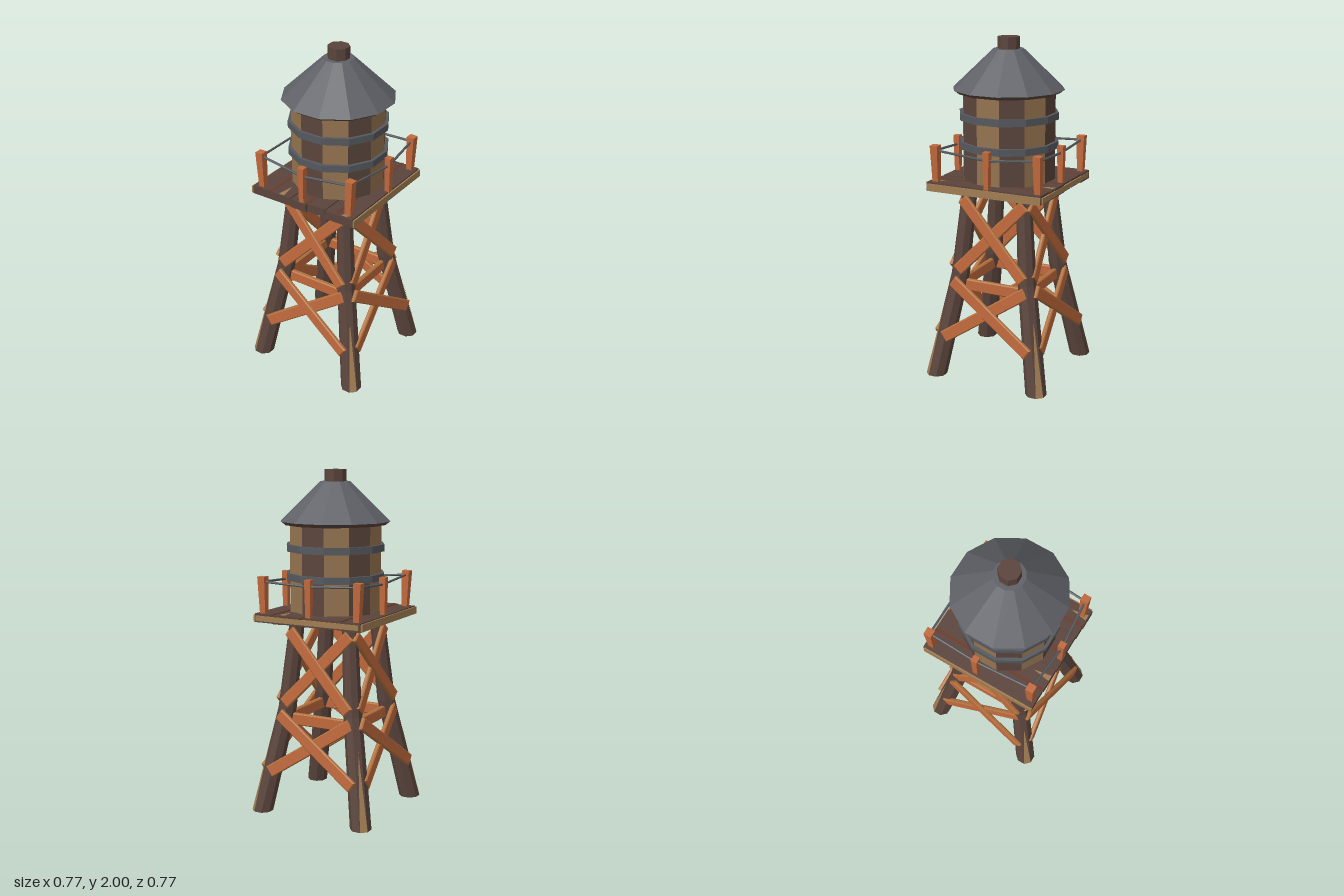
import * as THREE from 'three';

const mat = (color, side = THREE.FrontSide) =>
  new THREE.MeshStandardMaterial({ color, flatShading: true, side });
const darkWood = mat(0x5a443c), lightWood = mat(0x94734f), stainedWood = mat(0x6a3a2a);
const orangeWood = mat(0xc0693c), orangeEdge = mat(0xb0703c);
const wornWood = mat(0xa07c52, THREE.DoubleSide);
const roofMetal = mat(0x5f6167), bandMetal = mat(0x55585d);

const V = (x, y, z) => new THREE.Vector3(x, y, z);

function add(parent, name, geometry, material, x = 0, y = 0, z = 0) {
  const mesh = new THREE.Mesh(geometry, material);
  mesh.name = name;
  mesh.position.set(x, y, z);
  parent.add(mesh);
  return mesh;
}

// Thin worn sliver of bare wood
function sliver(parent, name, a, b, c) {
  const g = new THREE.BufferGeometry().setFromPoints([a, b, c]);
  g.computeVertexNormals();
  return add(parent, name, g, wornWood);
}

// Bevelled board from a to b, its broad face turned towards +z
function board(parent, name, a, b, width, thick) {
  const bevel = 0.006, length = a.distanceTo(b);
  const w = width / 2 - bevel, l = length / 2 - bevel;
  const shape = new THREE.Shape([[-l, -w], [l, -w], [l, w], [-l, w]].map(p => new THREE.Vector2(...p)));
  const g = new THREE.ExtrudeGeometry(shape, {
    depth: thick - 2 * bevel, bevelThickness: bevel, bevelSize: bevel, bevelSegments: 1,
  });
  g.translate(0, 0, bevel - thick / 2);
  const along = b.clone().sub(a).normalize();
  const out = V(0, 0, 1).addScaledVector(along, -along.z).normalize();
  const across = out.clone().cross(along);
  const mesh = add(parent, name, g, [orangeWood, orangeEdge]);
  mesh.quaternion.setFromRotationMatrix(new THREE.Matrix4().makeBasis(along, across, out));
  mesh.position.copy(a).add(b).multiplyScalar(0.5);
}

// Round bar from a to b
function bar(parent, name, a, b, radius) {
  const mesh = add(parent, name, new THREE.CylinderGeometry(radius, radius, a.distanceTo(b), 6), bandMetal);
  mesh.position.copy(a).add(b).multiplyScalar(0.5);
  mesh.quaternion.setFromUnitVectors(V(0, 1, 0), b.clone().sub(a).normalize());
}

// Eight-sided leg that bends inwards at the middle
function legGeometry() {
  const levels = [[0, 0.328, 0.057], [0.62, 0.217, 0.05], [1.14, 0.172, 0.041]]; // y, centre, half width
  const g = new THREE.CylinderGeometry(1, 1, 2, 8, 2, false, Math.PI / 8);
  const p = g.attributes.position, k = 1 / Math.cos(Math.PI / 8);
  for (let i = 0; i < p.count; i++) {
    const [y, c, h] = levels[Math.round(p.getY(i)) + 1];
    p.setXYZ(i, c + p.getX(i) * h * k, y, c + p.getZ(i) * h * k);
  }
  g.computeVertexNormals();
  return g;
}

// One leg and one braced side; repeated by quarter turns
function towerSide(index) {
  const side = new THREE.Group();
  side.name = 'towerSide';
  add(side, 'leg', legGeometry(), darkWood);
  const o = 0.328 + 0.059 * Math.SQRT1_2, t = 0.016, top = 0.25 + 0.058 * Math.SQRT1_2;
  sliver(side, 'legWear', V(o - t, 0, o + t), V(o + t, 0, o - t), V(top, 0.44, top));

  board(side, 'lowerBrace', V(-0.275, 0.245, 0.332), V(0.23, 0.58, 0.266), 0.072, 0.026);
  board(side, 'lowerBrace', V(-0.235, 0.59, 0.282), V(0.28, 0.24, 0.345), 0.072, 0.026);
  board(side, 'upperBrace', V(-0.215, 0.65, 0.258), V(0.195, 1.08, 0.212), 0.07, 0.026);
  board(side, 'upperBrace', V(-0.195, 1.08, 0.222), V(0.215, 0.65, 0.272), 0.07, 0.026);
  board(side, 'crossBeam', V(-0.2, 0.555, 0.215), V(0.2, 0.555, 0.215), 0.07, 0.03);
  side.rotation.y = index * Math.PI / 2;
  return side;
}

function createPlatform() {
  const g = new THREE.Group();
  g.name = 'platform';
  const seams = [-0.338, -0.21, -0.07, 0.04, 0.163, 0.235, 0.347];
  for (let i = 0; i < 6; i++) {
    const w = seams[i + 1] - seams[i], shift = (i % 3 - 1) * 0.004;
    add(g, 'plank', new THREE.BoxGeometry(w - 0.003, 0.05, 0.715),
      darkWood, seams[i] + w / 2, 1.161 + (i % 2) * 0.003, shift);
  }
  add(g, 'underside', new THREE.BoxGeometry(0.68, 0.03, 0.7), darkWood, 0.005, 1.152, 0);
  // Stained strips and worn edges
  for (const x of [-0.21, 0.04, 0.235])
    add(g, 'stainedStrip', new THREE.BoxGeometry(0.018, 0.012, 0.71), stainedWood, x, 1.184, 0);
  for (const x of [-0.341, 0.35])
    add(g, 'wornSide', new THREE.BoxGeometry(0.01, 0.042, 0.71), wornWood, x, 1.16, 0);
  add(g, 'wornBack', new THREE.BoxGeometry(0.66, 0.03, 0.01), wornWood, 0.005, 1.162, -0.36);
  for (const [x, s] of [[-0.135, 1], [0.29, 1], [0.165, -1]])
    sliver(g, 'plankWear', V(x - 0.018, 1.192, s * 0.355), V(x + 0.018, 1.192, s * 0.355), V(x, 1.192, s * 0.25));
  return g;
}

function createRailing() {
  const g = new THREE.Group();
  g.name = 'railing';
  // x, z, rail height, lean: clockwise from the back left corner
  const posts = [
    [-0.303, -0.323, 1.375, 0.03], [0.005, -0.327, 1.36, 0], [0.307, -0.322, 1.37, -0.03],
    [0.337, -0.024, 1.35, 0], [0.305, 0.32, 1.37, -0.04], [0.005, 0.343, 1.345, 0],
    [-0.292, 0.32, 1.375, 0.04], [-0.31, -0.024, 1.36, 0],
  ];
  posts.forEach(([x, z, y, lean], i) => {
    const corner = i % 2 === 0;
    const geo = new THREE.CylinderGeometry(corner ? 0.033 : 0.027, corner ? 0.025 : 0.021, 0.215, 4, 1, false, Math.PI / 4);
    add(g, 'post', geo, orangeWood, x, 1.293, z).rotation.z = lean;
    const [nx, nz, ny] = posts[(i + 1) % posts.length];
    bar(g, 'rail', V(x, y, z), V(nx, ny, nz), 0.007);
  });
  return g;
}

function createTank() {
  const g = new THREE.Group();
  g.name = 'tank';
  const drum = (rTop, rBottom, h, n = 12) =>
    new THREE.CylinderGeometry(rTop, rBottom, h, n, 1, false, -Math.PI / n);
  // Barrel with alternating dark and light staves
  const barrel = drum(0.271, 0.271, 0.52);
  const ends = barrel.groups.slice(1);
  barrel.clearGroups();
  for (let i = 0; i < 12; i++) barrel.addGroup(i * 6, 6, i % 2);
  for (const e of ends) barrel.addGroup(e.start, e.count, 0);
  add(g, 'barrel', barrel, [darkWood, lightWood], 0, 1.445, 0);
  for (const y of [1.39, 1.556]) add(g, 'hoop', drum(0.29, 0.29, 0.04), bandMetal, 0, y, 0);
  // Roof, eaves and vent
  add(g, 'eaves', drum(0.32, 0.295, 0.02), darkWood, 0, 1.696, 0);
  add(g, 'roof', drum(0.088, 0.325, 0.226), roofMetal, 0, 1.819, 0);
  add(g, 'vent', drum(0.063, 0.063, 0.08, 8), darkWood, 0, 1.96, 0);
  g.position.x = 0.015;
  return g;
}

export function createModel() {
  const model = new THREE.Group();
  model.name = 'waterTower';
  for (let i = 0; i < 4; i++) model.add(towerSide(i));
  model.add(createPlatform(), createRailing(), createTank());
  return model;
}
